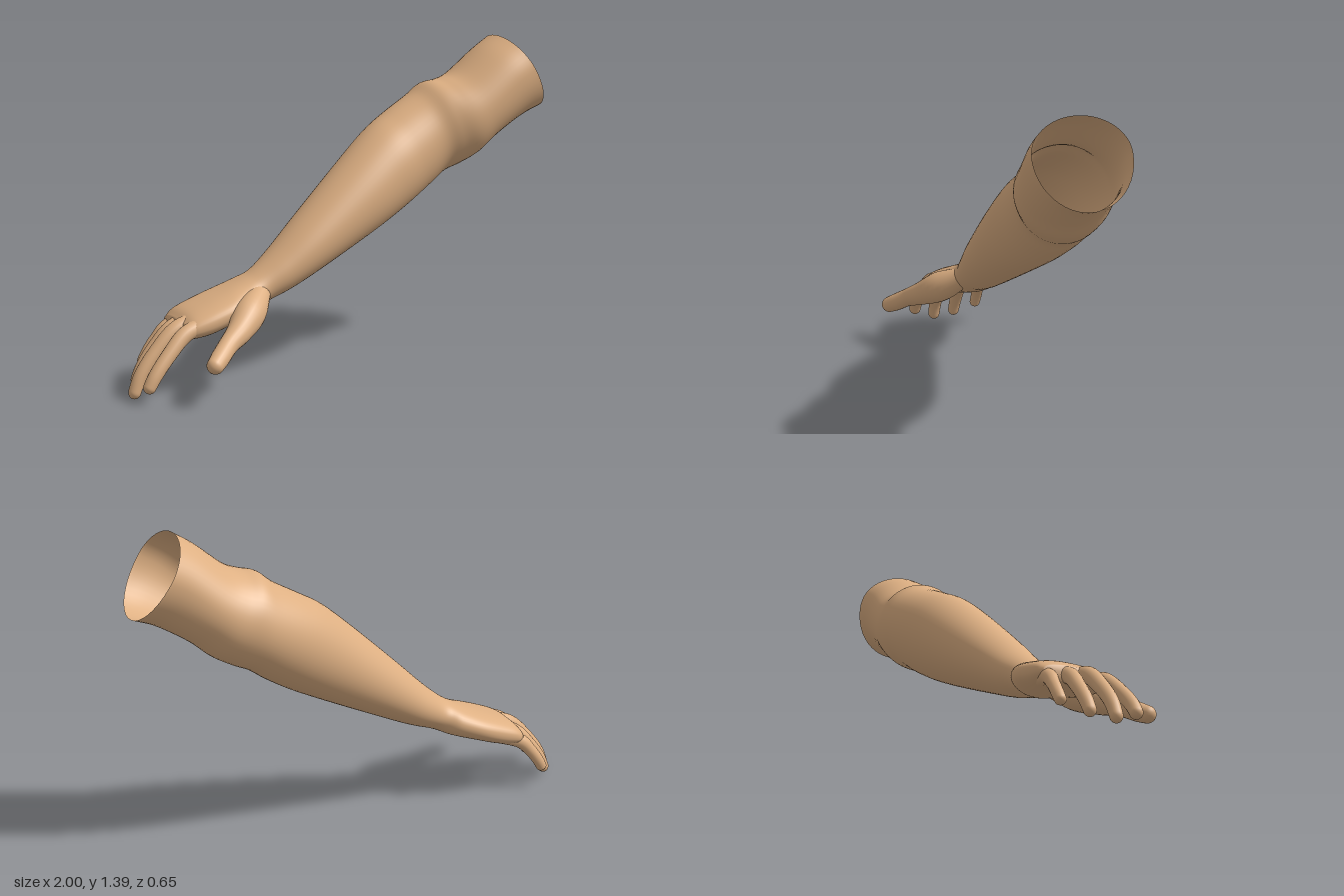
import * as THREE from 'three';

const V = (a) => new THREE.Vector3(...a);
const curve = (pts) => new THREE.CatmullRomCurve3(pts.map(V), false, 'catmullrom', 0.5);

// Skin a list of equal rings; the last ring may be closed to a point.
function loft(rings, tip) {
  const n = rings[0].length, pos = [], idx = [];
  rings.forEach((r) => r.forEach((p) => pos.push(p.x, p.y, p.z)));
  for (let i = 0; i < rings.length - 1; i++) {
    for (let j = 0; j < n; j++) {
      const a = i * n + j, b = i * n + (j + 1) % n;
      idx.push(a, b, a + n, b, b + n, a + n);
    }
  }
  if (tip) {
    const last = (rings.length - 1) * n;
    pos.push(tip.x, tip.y, tip.z);
    for (let j = 0; j < n; j++) idx.push(last + j, last + (j + 1) % n, rings.length * n);
  }
  const g = new THREE.BufferGeometry();
  g.setAttribute('position', new THREE.Float32BufferAttribute(pos, 3));
  g.setIndex(idx);
  g.computeVertexNormals();
  return g;
}

// Sections from the open upper arm to the knuckles:
// top x, top y, bottom x, bottom y, front z, back z, height of the widest point
const SECTIONS = [
  [0.80, 1.395, 1.00, 1.07, 0.105, -0.295, 0.58],
  [0.717, 1.34, 0.90, 1.03, 0.105, -0.295, 0.56],
  [0.60, 1.245, 0.77, 0.95, 0.10, -0.31, 0.52],
  [0.53, 1.215, 0.68, 0.875, 0.092, -0.32, 0.5],
  [0.465, 1.20, 0.60, 0.83, 0.068, -0.327, 0.5],
  [0.40, 1.15, 0.53, 0.80, 0.046, -0.328, 0.5],
  [0.28, 1.08, 0.45, 0.743, 0.05, -0.315, 0.5],
  [0.17, 1.01, 0.33, 0.668, 0.065, -0.29, 0.5],
  [0.01, 0.87, 0.17, 0.583, 0.08, -0.25, 0.5],
  [-0.20, 0.674, -0.08, 0.46, 0.085, -0.195, 0.5],
  [-0.33, 0.55, -0.25, 0.38, 0.076, -0.155, 0.5],
  [-0.42, 0.475, -0.37, 0.335, 0.065, -0.13, 0.5],
  [-0.48, 0.44, -0.45, 0.30, 0.085, -0.165, 0.5],
  [-0.56, 0.405, -0.56, 0.265, 0.12, -0.19, 0.5],
  [-0.65, 0.37, -0.66, 0.235, 0.125, -0.195, 0.5],
  [-0.73, 0.335, -0.735, 0.225, 0.115, -0.19, 0.5],
  [-0.77, 0.30, -0.765, 0.235, 0.10, -0.17, 0.5],
];

function armGeometry() {
  const top = curve(SECTIONS.map((s) => [s[0], s[1], 0]));
  const bottom = curve(SECTIONS.map((s) => [s[2], s[3], 0]));
  const width = curve(SECTIONS.map((s) => [s[4], s[5], s[6]]));
  const steps = 96, sides = 48, rings = [];
  for (let i = 0; i <= steps; i++) {
    const t = i / steps, T = top.getPoint(t), B = bottom.getPoint(t), w = width.getPoint(t);
    // the palm is a little boxier than the arm
    const power = 1 - 0.18 * THREE.MathUtils.smoothstep(t, 0.7, 0.9);
    const round = (v) => Math.sign(v) * Math.abs(v) ** power;
    const ring = [];
    for (let j = 0; j < sides; j++) {
      const a = j / sides * Math.PI * 2, c = round(Math.cos(a)), s = round(Math.sin(a));
      const h = w.z + s * (s > 0 ? 1 - w.z : w.z);
      const p = B.clone().lerp(T, h);
      p.z = (w.x + w.y) / 2 + c * (w.x - w.y) / 2;
      ring.push(p);
    }
    rings.push(ring);
  }
  return loft(rings, new THREE.Vector3(-0.777, 0.268, -0.035));
}

// Tapered, rounded digit along a path of x, y, z, radius
function digitGeometry(path) {
  const c = curve(path.map((p) => p.slice(0, 3)));
  const radii = curve(path.map((p) => [p[3], 0, 0]));
  const steps = 40, sides = 20, rings = [], up = new THREE.Vector3(0, 1, 0);
  const length = c.getLength(), endR = path[path.length - 1][3];
  for (let i = 0; i < steps; i++) {
    const t = 1 - (1 - i / steps) ** 1.6;
    const p = c.getPoint(t), tan = c.getTangent(t);
    const side = up.clone().cross(tan).normalize(), lift = tan.clone().cross(side);
    const k = Math.min(1, (1 - t) * length / (endR * 1.3));
    const r = radii.getPoint(t).x * Math.sqrt(1 - (1 - k) ** 2);
    rings.push(Array.from({ length: sides }, (_, j) => {
      const a = j / sides * Math.PI * 2;
      return p.clone().addScaledVector(side, Math.cos(a) * r).addScaledVector(lift, Math.sin(a) * r);
    }));
  }
  return loft(rings, c.getPoint(1));
}

const DIGITS = {
  thumb: [[-0.41, 0.39, 0.02, 0.045], [-0.5, 0.325, 0.105, 0.068], [-0.58, 0.272, 0.175, 0.053],
    [-0.65, 0.235, 0.222, 0.041], [-0.71, 0.195, 0.268, 0.039], [-0.763, 0.163, 0.31, 0.032]],
  indexFinger: [[-0.68, 0.295, 0.07, 0.036], [-0.78, 0.262, 0.083, 0.034], [-0.86, 0.19, 0.102, 0.031],
    [-0.925, 0.115, 0.115, 0.029], [-0.965, 0.048, 0.118, 0.026]],
  middleFinger: [[-0.68, 0.302, 0.005, 0.036], [-0.79, 0.268, 0.008, 0.035], [-0.88, 0.185, 0.012, 0.032],
    [-0.95, 0.095, 0.016, 0.029], [-0.988, 0.003, 0.018, 0.026]],
  ringFinger: [[-0.68, 0.295, -0.06, 0.036], [-0.78, 0.255, -0.067, 0.034], [-0.855, 0.18, -0.072, 0.03],
    [-0.91, 0.105, -0.071, 0.028], [-0.945, 0.03, -0.067, 0.025]],
  littleFinger: [[-0.66, 0.285, -0.135, 0.036], [-0.76, 0.245, -0.148, 0.032], [-0.815, 0.19, -0.156, 0.027],
    [-0.855, 0.135, -0.159, 0.025], [-0.882, 0.087, -0.156, 0.023]],
};

export function createModel() {
  const skin = new THREE.MeshStandardMaterial({ color: 0xdeb083, side: THREE.DoubleSide });
  skin.name = 'skin';
  const model = new THREE.Group();
  model.name = 'arm';
  const add = (name, geometry) => {
    const mesh = new THREE.Mesh(geometry, skin);
    mesh.name = name;
    model.add(mesh);
  };
  add('armAndPalm', armGeometry());
  for (const [name, path] of Object.entries(DIGITS)) add(name, digitGeometry(path));
  return model;
}
